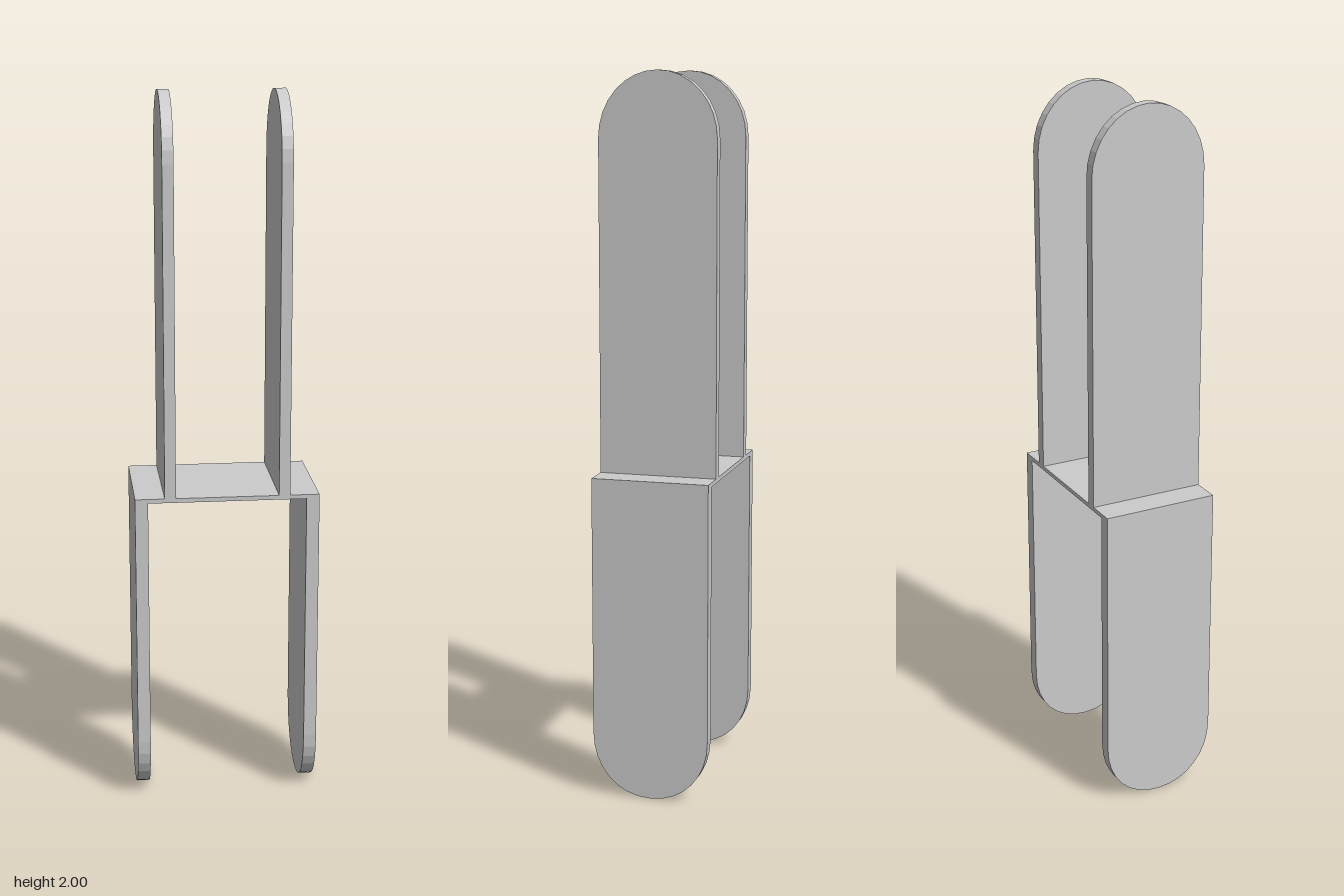
import * as THREE from 'three';

const HALF_DEPTH = 0.165;
const SHELF_TOP = 0.905;
const SHELF_THICKNESS = 0.012;
const material = new THREE.MeshStandardMaterial({ color: 0xcccccc, flatShading: true });

// Upright plate: square at yFlat, rounded at yTip, standing between x0 and x1
function roundedPlate(name, x0, x1, yFlat, yTip, tipHeight, power) {
  const dir = Math.sign(yTip - yFlat);
  const segments = 16;
  const points = [new THREE.Vector2(HALF_DEPTH, yFlat)];
  for (let i = 0; i <= segments; i++) {
    const a = (i / segments) * Math.PI;
    const c = Math.cos(a), s = Math.max(0, Math.sin(a));
    points.push(new THREE.Vector2(
      HALF_DEPTH * Math.sign(c) * Math.abs(c) ** (2 / power),
      yTip - dir * tipHeight * (1 - s ** (2 / power))
    ));
  }
  points.push(new THREE.Vector2(-HALF_DEPTH, yFlat));

  const geometry = new THREE.ExtrudeGeometry(new THREE.Shape(points), {
    depth: x1 - x0, bevelEnabled: false,
  });
  geometry.translate(0, 0, -(x1 - x0) / 2);
  geometry.rotateY(-Math.PI / 2);
  geometry.translate((x0 + x1) / 2, 0, 0);
  const mesh = new THREE.Mesh(geometry, material);
  mesh.name = name;
  return mesh;
}

export function createModel() {
  const model = new THREE.Group();
  model.name = 'doubleFork';

  // Thin shelf joining the two lower plates
  const shelf = new THREE.Mesh(
    new THREE.BoxGeometry(0.44, SHELF_THICKNESS, HALF_DEPTH * 2), material);
  shelf.position.y = SHELF_TOP - SHELF_THICKNESS / 2;
  shelf.name = 'shelf';
  model.add(shelf);

  // Mirrored pairs: wide lower plates and narrower upper plates
  for (const [label, side] of [['left', 1], ['right', -1]]) {
    const plate = (part, inner, outer, ...rest) => roundedPlate(
      label + part, Math.min(side * inner, side * outer), Math.max(side * inner, side * outer), ...rest);
    model.add(plate('LowerPlate', 0.22, 0.256, SHELF_TOP, 0, 0.18, 2.1));
    model.add(plate('UpperPlate', 0.143, 0.174, SHELF_TOP, 2, 0.18, 2));
  }
  return model;
}
